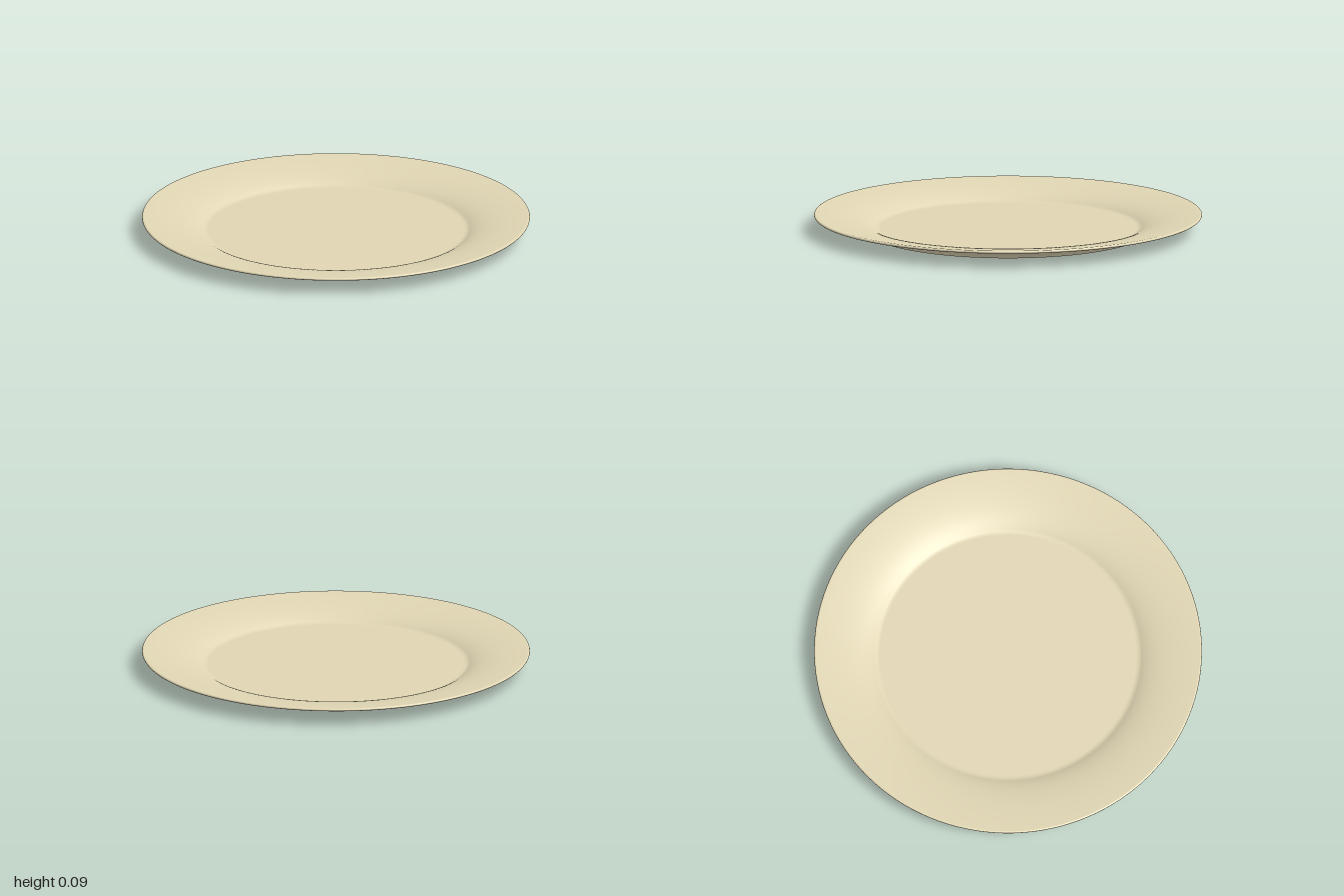
import * as THREE from 'three';

const SEGMENTS = 128;

// Revolve a path drawn in (radius, height)
function revolve(name, path, divisions, material) {
  const mesh = new THREE.Mesh(new THREE.LatheGeometry(path.getPoints(divisions), SEGMENTS), material);
  mesh.name = name;
  return mesh;
}

export function createModel() {
  const group = new THREE.Group();
  group.name = 'plate';
  const glaze = new THREE.MeshStandardMaterial({ color: 0xe0d6b4 });

  // Flat base the plate stands on
  const base = new THREE.Path();
  base.moveTo(0, 0);
  base.lineTo(0.72, 0);
  group.add(revolve('base', base, 1, glaze));

  // Flared underside, rounded lip, sloping rim, well wall and flat floor
  const body = new THREE.Path();
  body.moveTo(0.72, 0);
  body.bezierCurveTo(0.745, 0.04, 0.82, 0.06, 0.99, 0.078);
  body.bezierCurveTo(1.003, 0.079, 1.003, 0.093, 0.99, 0.093);
  body.bezierCurveTo(0.83, 0.079, 0.74, 0.058, 0.69, 0.026);
  body.quadraticCurveTo(0.677, 0.018, 0.66, 0.018);
  body.lineTo(0, 0.018);
  group.add(revolve('dish', body, 14, glaze));

  return group;
}
